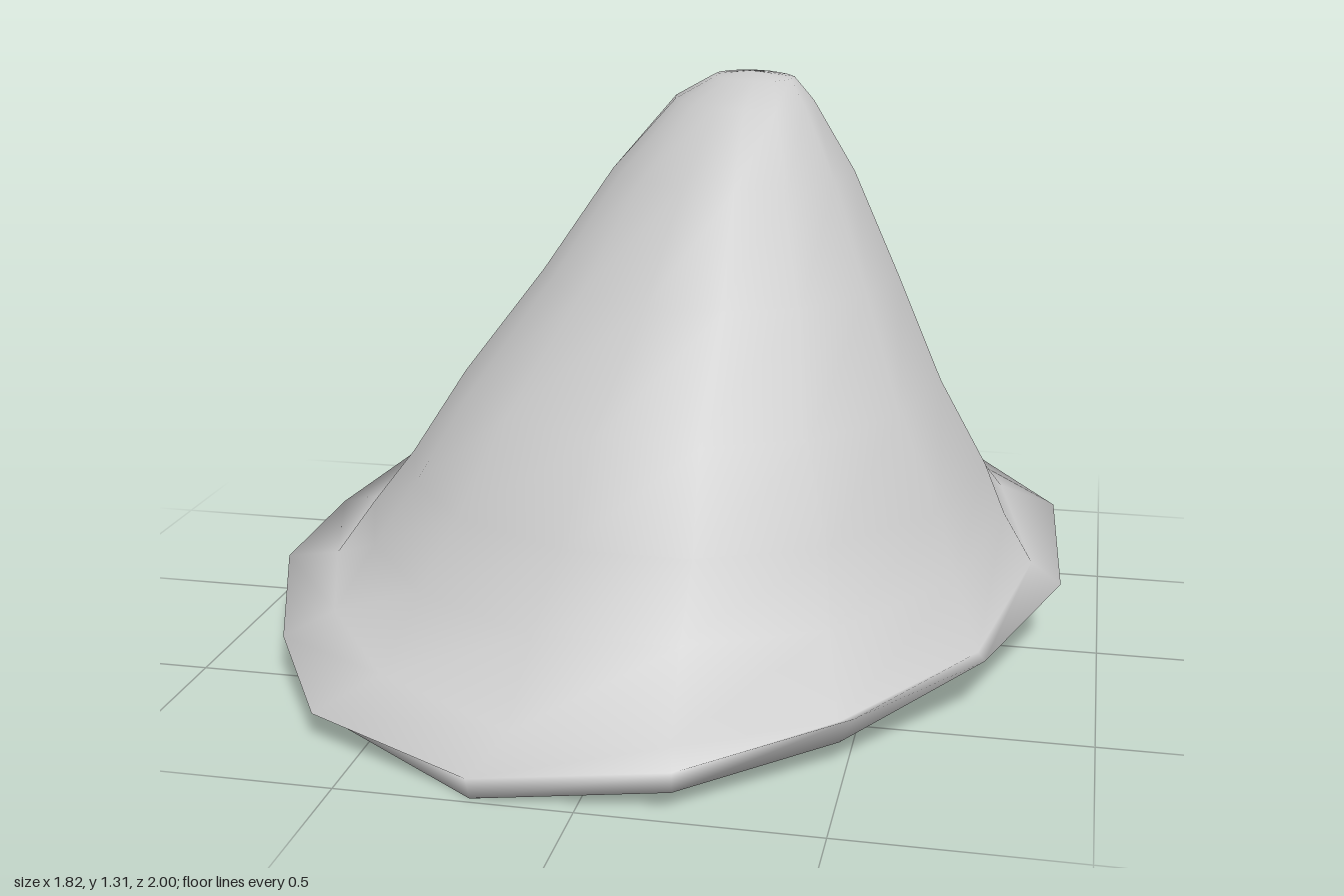
import * as THREE from 'three';

// Brim outline, counter-clockwise from the front: x, z, upper edge y, lower edge y
const BRIM = [
  [-0.22, 1.0, 0.05, 0], [0.19, 0.97, 0.09, 0.04], [0.52, 0.74, 0.13, 0.05], [0.76, 0.4, 0.13, 0.1],
  [0.91, -0.01, 0.16, 0.09], [0.88, -0.46, 0.2, 0.11], [0.62, -0.79, 0.24, 0.17], [0.26, -1.0, 0.29, 0.2],
  [-0.08, -1.0, 0.29, 0.21], [-0.36, -0.91, 0.28, 0.21], [-0.6, -0.71, 0.28, 0.19], [-0.78, -0.43, 0.26, 0.17],
  [-0.89, -0.12, 0.2, 0.13], [-0.91, 0.2, 0.17, 0.1], [-0.81, 0.49, 0.09, 0.06], [-0.62, 0.8, 0.06, 0.01],
];

// Crown sections: y, left and right x, front and back z, tilt towards the front, diagonal stretch
const CROWN = [
  [0.19, -0.82, 0.84, 0.89, -0.97, 0.1, 0],
  [0.285, -0.75, 0.77, 0.73, -0.93, 0.05, 0],
  [0.41, -0.65, 0.72, 0.65, -0.86, 0, 0],
  [0.61, -0.52, 0.61, 0.52, -0.72, 0, 0],
  [0.85, -0.34, 0.5, 0.3, -0.58, 0, 0],
  [1.09, -0.18, 0.39, 0.16, -0.47, 0, 0.03],
  [1.25, -0.04, 0.29, 0.01, -0.35, 0, 0.08],
  [1.3, 0.05, 0.24, -0.09, -0.3, 0, 0.15],
];

const N = BRIM.length;

// Smooth skin between successive rings, closed with a fan to the tip
function loft(rings, tip) {
  const index = [];
  const last = rings.length - 1;
  for (let i = 0; i < N; i++) {
    const j = (i + 1) % N;
    for (let r = 0; r < last; r++) {
      const a = r * N + i, b = r * N + j;
      index.push(a, b, b + N, a, b + N, a + N);
    }
    index.push(last * N + i, last * N + j, rings.length * N);
  }
  const geo = new THREE.BufferGeometry();
  geo.setAttribute('position', new THREE.Float32BufferAttribute([...rings.flat(2), ...tip], 3));
  geo.setIndex(index);
  geo.computeVertexNormals();
  return geo;
}

// Leaning oval section whose corners follow the brim's corners
function crownRing([y, x0, x1, z1, z0, tilt, stretch]) {
  const cx = (x0 + x1) / 2, cz = (z0 + z1) / 2;
  return BRIM.map(([bx, bz]) => {
    const a = Math.atan2(bx, bz);
    const k = 1 + stretch * Math.sin(2 * a);
    const z = cz + Math.cos(a) * k * (z1 - z0) / 2 * 1.015;
    return [cx + Math.sin(a) * k * (x1 - x0) / 2, y - tilt * z, z];
  });
}

export function createModel() {
  const group = new THREE.Group();

  // Underside centre and field, then the bevelled edge of the brim
  const centre = [0, 0.1, 0];
  const upper = BRIM.map(([x, z, y]) => [x, y, z]);
  const lower = BRIM.map(([x, z, , y]) => {
    const inset = z > 0.9 ? 0.985 : 0.93;
    return [x * inset, y, z * inset];
  });
  const field = lower.map((p) => p.map((v, k) => centre[k] + (v - centre[k]) * 0.85));
  const rings = [BRIM.map(() => centre), field, lower, upper, ...CROWN.map(crownRing)];

  // One continuous form: underside, brim and leaning crown
  const mesh = new THREE.Mesh(
    loft(rings, [0.14, 1.312, -0.19]),
    new THREE.MeshStandardMaterial({ color: 0xcccccc }),
  );
  mesh.name = 'crownAndBrim';
  group.add(mesh);
  return group;
}
